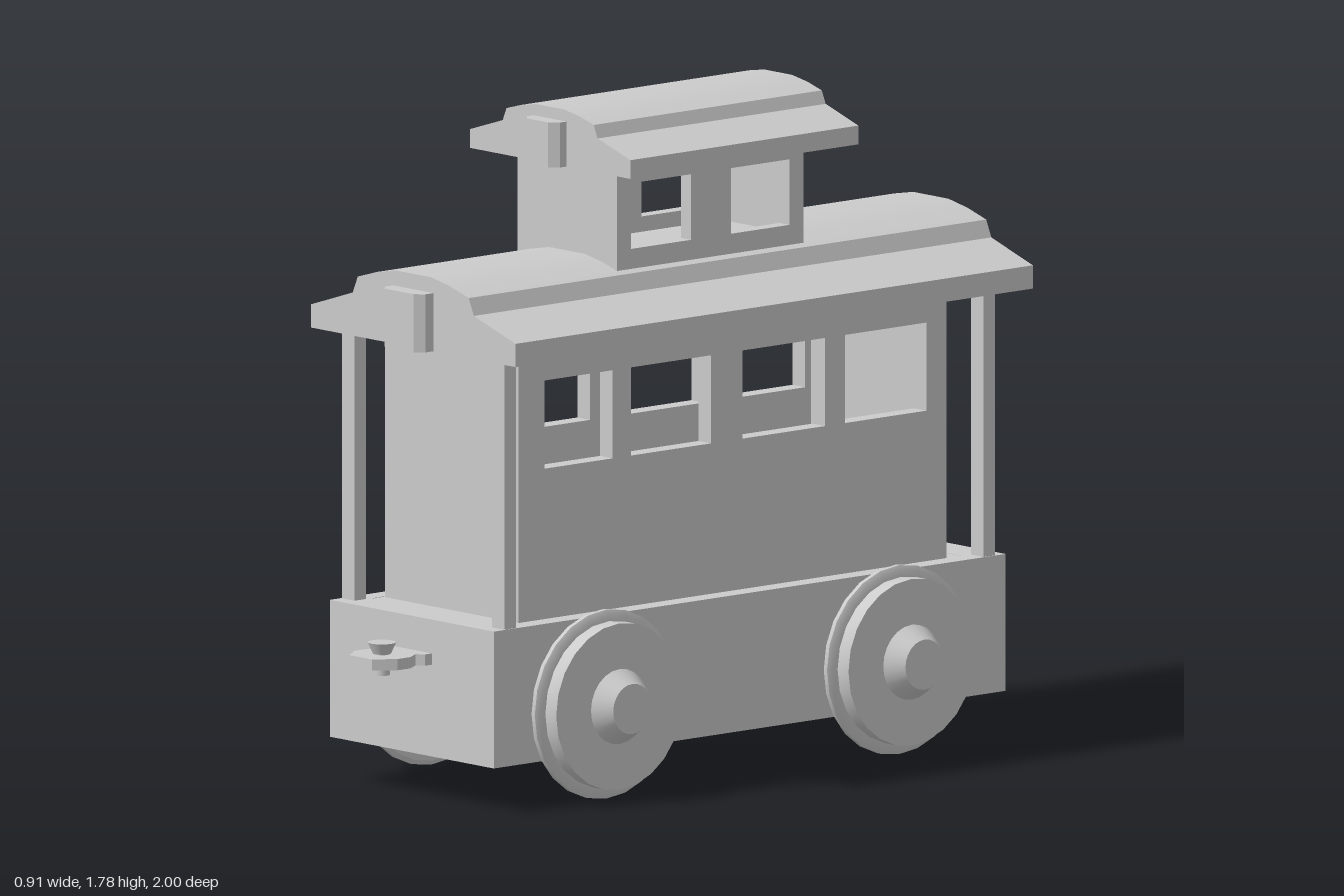
import * as THREE from 'three';
import { toCreasedNormals } from 'three/addons/utils/BufferGeometryUtils.js';

const grey = new THREE.MeshStandardMaterial({ color: 0xcccccc });

function add(parent, name, geometry, x = 0, y = 0, z = 0) {
  const mesh = new THREE.Mesh(geometry, grey);
  mesh.name = name;
  mesh.position.set(x, y, z);
  parent.add(mesh);
  return mesh;
}

// Box given by its min and max on each axis
function block(parent, name, x0, x1, y0, y1, z0, z1) {
  return add(parent, name, new THREE.BoxGeometry(x1 - x0, y1 - y0, z1 - z0),
    (x0 + x1) / 2, (y0 + y1) / 2, (z0 + z1) / 2);
}

function rect(Type, a0, a1, b0, b1) {
  return new Type([[a0, b0], [a1, b0], [a1, b1], [a0, b1]].map(p => new THREE.Vector2(...p)));
}

function extrude(shape, depth) {
  return new THREE.ExtrudeGeometry(shape, { depth, bevelEnabled: false });
}

// Horizontal frame with a rectangular opening, hanging down from yTop
function frame(parent, name, outer, inner, yTop, depth) {
  const shape = rect(THREE.Shape, ...outer);
  shape.holes.push(rect(THREE.Path, ...inner));
  add(parent, name, extrude(shape, depth).rotateX(Math.PI / 2), 0, yTop, 0);
}

// Hollow room: two windowed side walls and two plain end walls
function room(parent, name, halfWidth, y0, y1, z0, z1, t, windows, wy0, wy1) {
  const shape = rect(THREE.Shape, z0, z1, y0, y1);
  for (const [a, b] of windows) shape.holes.push(rect(THREE.Path, a, b, wy0, wy1));
  const side = extrude(shape, t).rotateY(-Math.PI / 2);
  add(parent, name + 'LeftWall', side, halfWidth);
  add(parent, name + 'RightWall', side, t - halfWidth);
  const w = halfWidth - t;
  block(parent, name + 'FrontWall', -w, w, y0, y1, z1 - t, z1);
  block(parent, name + 'BackWall', -w, w, y0, y1, z0, z0 + t);
}

// Roof with sloped eaves, a small step and a curved crown; half = right half of the profile
function roof(parent, name, half, z0, z1) {
  const points = [...half, ...half.slice().reverse().map(([x, y]) => [-x, y])];
  const shape = new THREE.Shape(points.map(p => new THREE.Vector2(...p)));
  add(parent, name, toCreasedNormals(extrude(shape, z1 - z0), 0.3), 0, 0, z0);
}

// Lamp box with chamfered front corners
function lamp(parent, name, w, y0, y1, z, d) {
  const c = 0.022;
  const shape = new THREE.Shape([[-w, 0], [w, 0], [w, d - c], [w - c, d], [c - w, d], [-w, d - c]]
    .map(p => new THREE.Vector2(...p)));
  add(parent, name, extrude(shape, y1 - y0).rotateX(Math.PI / 2), 0, y1, z);
}

export function createModel() {
  const model = new THREE.Group();
  model.name = 'railwayCar';

  // Chassis, open underneath
  frame(model, 'chassis', [-0.325, 0.325, -0.975, 0.82], [-0.27, 0.27, -0.87, 0.72], 0.485, 0.365);
  frame(model, 'floor', [-0.275, 0.275, -0.88, 0.73], [-0.21, 0.21, -0.77, 0.63], 0.484, 0.06);

  // Cabin and platform posts
  room(model, 'cabin', 0.265, 0.48, 1.21, -0.82, 0.68, 0.05,
    [[0.35, 0.59], [0.005, 0.285], [-0.395, -0.105], [-0.75, -0.465]], 0.885, 1.12);
  for (const s of [-1, 1]) {
    for (const z of [0.76, -0.92]) {
      add(model, 'platformPost', new THREE.BoxGeometry(0.05, 0.73, 0.04), s * 0.297, 0.845, z);
    }
  }
  roof(model, 'mainRoof', [[0.405, 1.2], [0.405, 1.262], [0.24, 1.315], [0.22, 1.36],
    [0.145, 1.382], [0.07, 1.396]], -1, 0.815);
  lamp(model, 'mainRoofLamp', 0.08, 1.2, 1.355, 0.81, 0.055);

  // Lookout on the roof
  room(model, 'lookout', 0.197, 1.34, 1.64, -0.38, 0.275, 0.04,
    [[0.015, 0.225], [-0.33, -0.125]], 1.42, 1.595);
  roof(model, 'lookoutRoof', [[0.318, 1.635], [0.318, 1.685], [0.188, 1.726], [0.173, 1.76],
    [0.115, 1.776], [0.055, 1.786]], -0.465, 0.335);
  lamp(model, 'lookoutRoofLamp', 0.065, 1.635, 1.755, 0.33, 0.05);

  // Flanged wheels with tapered hubs and stub axles
  const profile = [[0, 0.2], [0.04, 0.2], [0.04, 0.335], [0.24, 0.335], [0.252, 0.341], [0.252, 0.354],
    [0.24, 0.36], [0.222, 0.362], [0.222, 0.405], [0.1, 0.405], [0.067, 0.456], [0, 0.456]];
  const wheel = toCreasedNormals(
    new THREE.LatheGeometry(profile.map(p => new THREE.Vector2(...p)), 24), 0.4);
  for (const s of [-1, 1]) {
    for (const z of [0.45, -0.575]) {
      add(model, 'wheel', wheel, 0, 0.253, z).rotation.z = -s * Math.PI / 2;
    }
  }

  // Coupler plate and pin at the front
  const half = [[0.08, 0.8], [0.08, 0.845], [0.06, 0.86], [0.085, 0.9], [0.085, 0.945], [0.045, 1]];
  const plate = new THREE.Shape([...half, ...half.slice().reverse().map(([x, z]) => [-x, z])]
    .map(p => new THREE.Vector2(...p)));
  add(model, 'couplerPlate', extrude(plate, 0.03).rotateX(Math.PI / 2), 0, 0.395, 0);
  add(model, 'couplerPin', new THREE.CylinderGeometry(0.021, 0.021, 0.08, 16), 0, 0.38, 0.925);
  add(model, 'couplerPinCap', new THREE.CylinderGeometry(0.038, 0.024, 0.03, 16), 0, 0.412, 0.925);

  return model;
}
